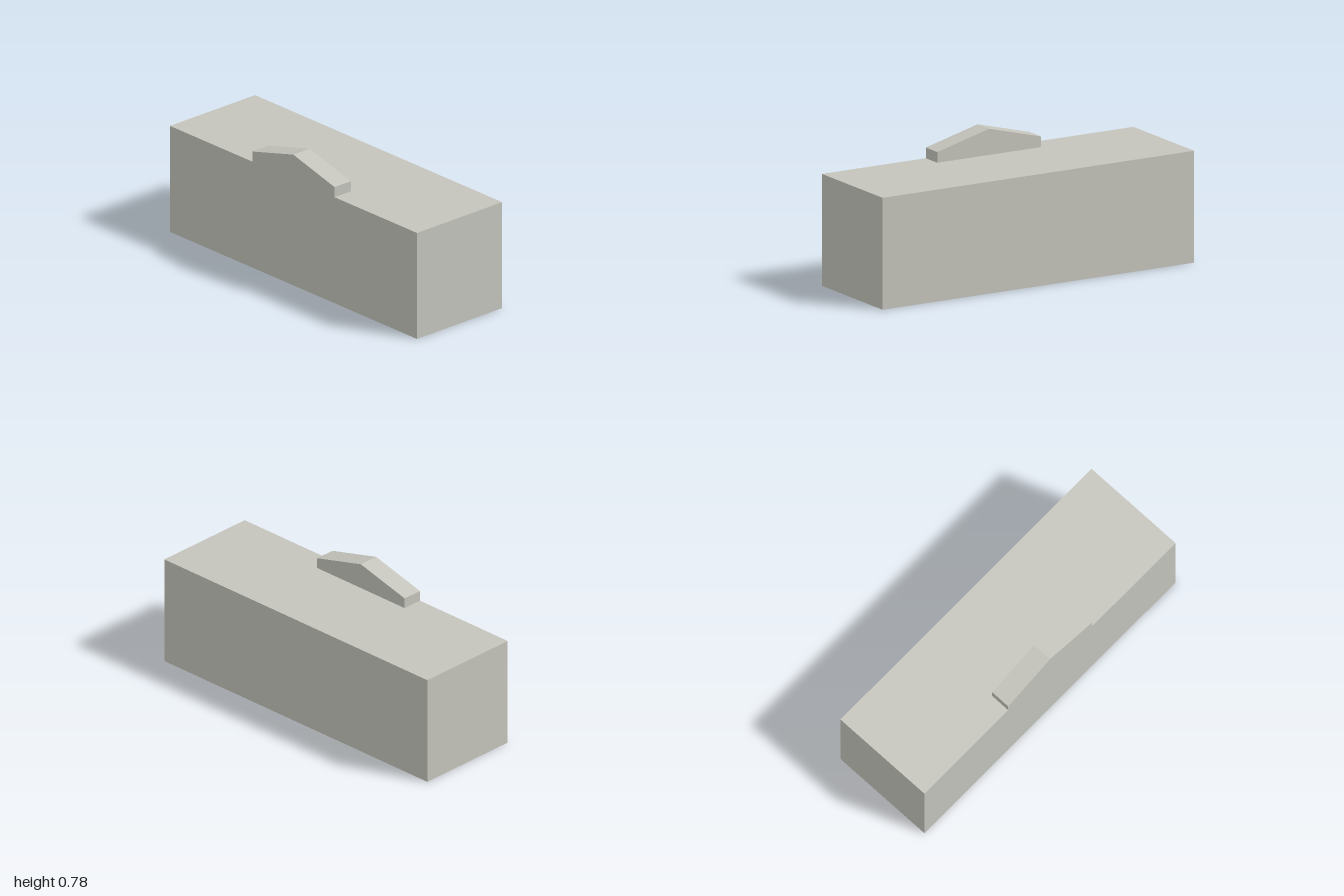
import * as THREE from 'three';

export function createModel() {
  const model = new THREE.Group();
  model.name = 'building';

  const stone = new THREE.MeshStandardMaterial({ color: 0xc4c4bc, flatShading: true });
  stone.name = 'pale stone grey';

  const width = 0.63, height = 0.63, length = 2;
  const gableThickness = 0.12, gableHalf = 0.333, eaves = 0.69, ridge = 0.777;

  // Long plain block
  const body = new THREE.Mesh(new THREE.BoxGeometry(width, height, length), stone);
  body.name = 'body';
  body.position.y = height / 2;
  model.add(body);

  // Low gabled parapet, flush with the right-hand wall
  const profile = new THREE.Shape([
    [-gableHalf, height], [gableHalf, height], [gableHalf, eaves], [0, ridge], [-gableHalf, eaves],
  ].map(([z, y]) => new THREE.Vector2(z, y)));
  const gableGeometry = new THREE.ExtrudeGeometry(profile, { depth: gableThickness, bevelEnabled: false });
  gableGeometry.rotateY(-Math.PI / 2);
  gableGeometry.translate(-width / 2 + gableThickness, 0, 0);
  const gable = new THREE.Mesh(gableGeometry, stone);
  gable.name = 'gableParapet';
  model.add(gable);

  return model;
}
